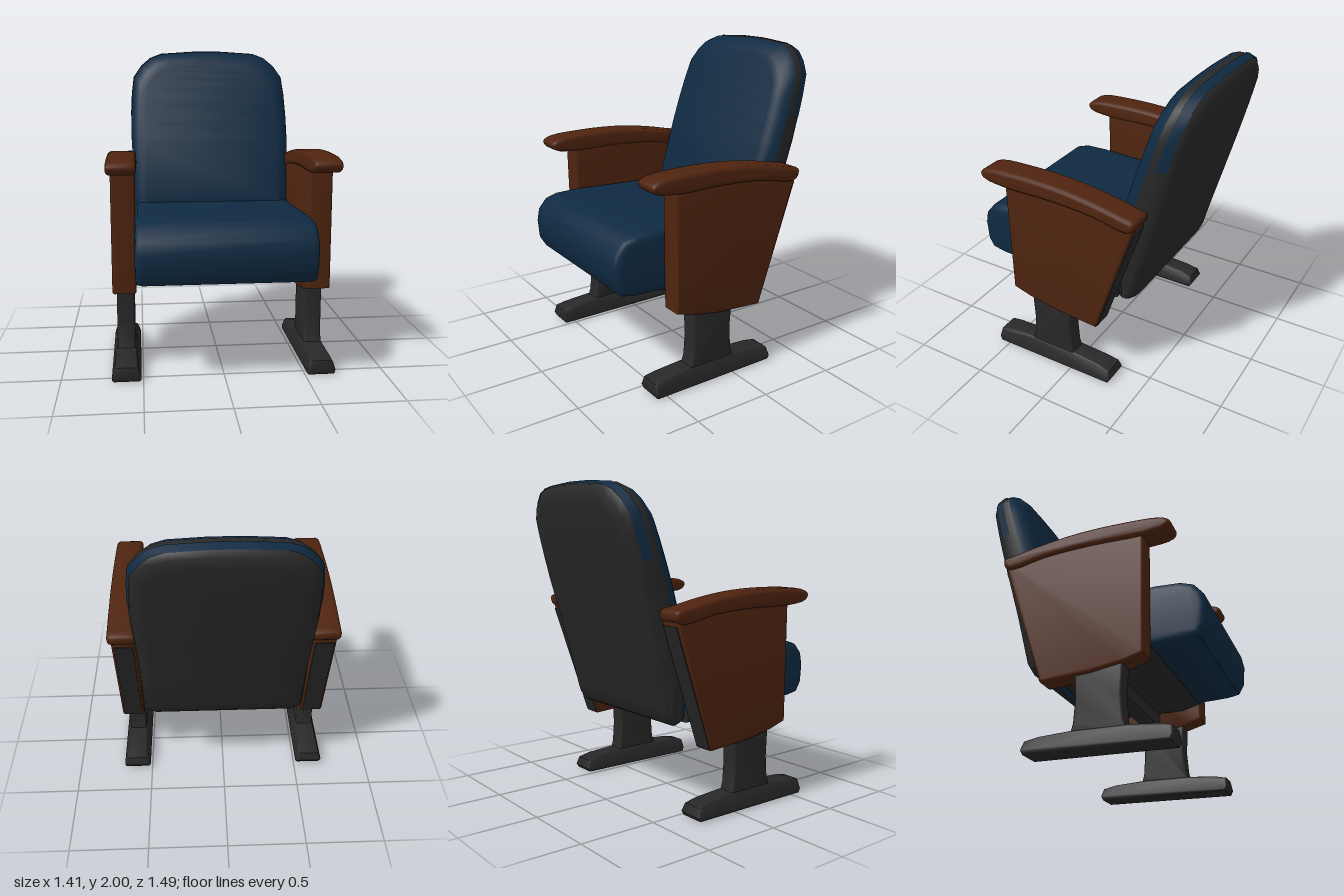
import * as THREE from 'three';
import { toCreasedNormals } from 'three/addons/utils/BufferGeometryUtils.js';

const material = (name, color, side = THREE.FrontSide) => {
  const m = new THREE.MeshStandardMaterial({ color, side });
  m.name = name;
  return m;
};

// Side profile of [z, y] points, extruded across x from x0 to x1 with rounded edges
function sideExtrude(points, x0, x1, bevel, spline = false) {
  let outline = points.map(([z, y]) => new THREE.Vector2(z, y));
  if (spline) {
    const curve = new THREE.CatmullRomCurve3(outline.map(p => new THREE.Vector3(p.x, p.y, 0)), true, 'centripetal');
    outline = curve.getPoints(points.length * 3).slice(0, -1).map(p => new THREE.Vector2(p.x, p.y));
  }
  const geo = new THREE.ExtrudeGeometry(new THREE.Shape(outline), {
    depth: x1 - x0 - 2 * bevel, bevelEnabled: bevel > 0,
    bevelSize: bevel, bevelThickness: bevel, bevelOffset: -bevel, bevelSegments: 3,
  });
  geo.rotateY(-Math.PI / 2);
  geo.translate(x1 - bevel, 0, 0);
  return toCreasedNormals(geo, 0.8);
}

// Backrest outline: [height, half width]; the front and back planes lean with height
const backRows = [[0.55, 0.46], [0.59, 0.52], [0.95, 0.535], [1.4, 0.555], [1.55, 0.553], [1.7, 0.545],
  [1.82, 0.53], [1.9, 0.475], [1.955, 0.41], [1.985, 0.33], [2.0, 0.1]];
const frontZ = y => y > 0.95 ? -0.2 - 0.32 * (y - 0.95) : -0.2 - 0.125 * (0.95 - y);
const rearZ = y => -0.39 - 0.27 * (y - 0.6);

// Loft of rings from front to back; each layer is [depth fraction, inset]
function backLoft(layers, rows, capFront, capBack) {
  const n = rows.length;
  const rings = layers.map(([t, inset]) => {
    const point = ([y, w], side) => {
      const py = 1.28 + (y - 1.28) * (1 - inset / 0.72);
      return [side * w * (1 - inset / 0.55), py, THREE.MathUtils.lerp(frontZ(py), rearZ(py), t)];
    };
    return [...rows.map(r => point(r, 1)), ...[...rows].reverse().map(r => point(r, -1))];
  });
  const pos = [];
  const quad = (a, b, c, d) => [a, b, c, a, c, d].forEach(p => pos.push(...p));
  const closed = rows === backRows;
  for (let k = 0; k < rings.length - 1; k++) {
    for (let j = 0; j < (closed ? 2 * n : 2 * n - 1); j++) {
      const i = (j + 1) % (2 * n);
      quad(rings[k][j], rings[k + 1][j], rings[k + 1][i], rings[k][i]);
    }
  }
  for (let i = 0; i < n - 1; i++) {
    const l = 2 * n - 1 - i;
    const f = rings[0], b = rings[rings.length - 1];
    if (capFront) quad(f[i], f[i + 1], f[l - 1], f[l]);
    if (capBack) quad(b[l], b[l - 1], b[i + 1], b[i]);
  }
  const geo = new THREE.BufferGeometry();
  geo.setAttribute('position', new THREE.Float32BufferAttribute(pos, 3));
  return toCreasedNormals(geo, 0.9);
}

export function createModel() {
  const model = new THREE.Group();
  model.name = 'auditoriumChair';
  const blue = material('blueFabric', 0x0f2a42);
  const blueBand = material('blueBandFabric', 0x0f2a42, THREE.DoubleSide);
  const wood = material('brownWood', 0x4f240f);
  const dark = material('darkMetal', 0x282828);

  const add = (parent, name, geo, mat) => {
    const mesh = new THREE.Mesh(geo, mat);
    mesh.name = name;
    parent.add(mesh);
    return mesh;
  };

  // Backrest: cushion, dark shell and a band wrapped over its upper edge
  add(model, 'backCushion', backLoft([[0, 0.09], [0.05, 0.05], [0.18, 0.015], [0.36, 0]], backRows, true, false), blue);
  add(model, 'backShell', backLoft([[0.36, 0], [0.54, 0], [0.8, 0.02], [0.93, 0.05], [1, 0.11]], backRows, false, true), dark);
  add(model, 'backUpperBand', backLoft([[0.55, -0.004], [0.8, 0.015]], backRows.slice(4), false, false), blueBand);

  // Seat cushion
  add(model, 'seatCushion', sideExtrude([[-0.24, 0.64], [0.1, 0.61], [0.42, 0.61], [0.62, 0.62], [0.7, 0.635],
    [0.74, 0.7], [0.75, 0.82], [0.735, 0.9], [0.68, 0.965], [0.6, 0.99], [0.45, 0.995], [0.1, 0.98], [-0.24, 0.97]],
    -0.54, 0.54, 0.04), blue);

  // Underside pan and the bar joining the legs
  add(model, 'seatPan', sideExtrude([[-0.26, 0.57], [0.3, 0.57], [0.42, 0.605], [0.42, 0.63], [-0.26, 0.66]], -0.52, 0.52, 0.01), dark);
  add(model, 'crossBar', sideExtrude([[0.02, 0.48], [0.13, 0.48], [0.13, 0.58], [0.02, 0.58]], -0.56, 0.56, 0.015), dark);

  for (const side of [1, -1]) {
    const frame = new THREE.Group();
    frame.name = side > 0 ? 'leftSide' : 'rightSide';
    model.add(frame);
    const shift = (geo, inner, outer) => side > 0 ? geo(inner, outer) : geo(-outer, -inner);

    // Tapered wooden side panel with a dark rear edge
    add(frame, 'sidePanel', shift((a, b) => sideExtrude([[0.43, 1.28], [0.42, 0.51], [0.3, 0.475], [0.1, 0.44],
      [-0.2, 0.42], [-0.46, 1.2], [-0.44, 1.24]], a, b, 0.015), 0.535, 0.682), wood);
    add(frame, 'panelRearEdge', shift((a, b) => sideExtrude([[-0.2, 0.43], [-0.208, 0.43], [-0.463, 1.18], [-0.455, 1.18]],
      a, b, 0), 0.55, 0.668), dark);

    // Curved armrest pad
    add(frame, 'armrest', shift((a, b) => sideExtrude([[0.58, 1.275], [0.44, 1.25], [0.1, 1.25], [-0.2, 1.23], [-0.42, 1.19],
      [-0.47, 1.215], [-0.475, 1.265], [-0.4, 1.285], [-0.2, 1.325], [0.05, 1.355], [0.35, 1.36], [0.55, 1.345], [0.6, 1.315]],
      a, b, 0.025, true), 0.525, 0.705), wood);

    // Leg column flaring into the foot
    add(frame, 'leg', shift((a, b) => sideExtrude([[0.32, 0.09], [0.295, 0.16], [0.285, 0.3], [0.295, 0.5], [0, 0.5],
      [0.01, 0.3], [0, 0.16], [-0.02, 0.09]], a, b, 0.015), 0.547, 0.66), dark);

    // Foot, narrowing toward its top
    const foot = sideExtrude([[0.58, 0.03], [0.565, 0], [-0.285, 0.005], [-0.3, 0.03], [-0.285, 0.085], [-0.2, 0.105],
      [0, 0.12], [0.32, 0.12], [0.5, 0.105], [0.57, 0.09]], -0.09, 0.09, 0.015);
    const p = foot.attributes.position;
    for (let i = 0; i < p.count; i++) {
      p.setX(i, p.getX(i) * THREE.MathUtils.mapLinear(Math.max(p.getY(i), 0.03), 0.03, 0.12, 1, 0.66));
    }
    add(frame, 'foot', toCreasedNormals(foot, 0.8), dark).position.x = side * 0.602;
  }
  return model;
}
